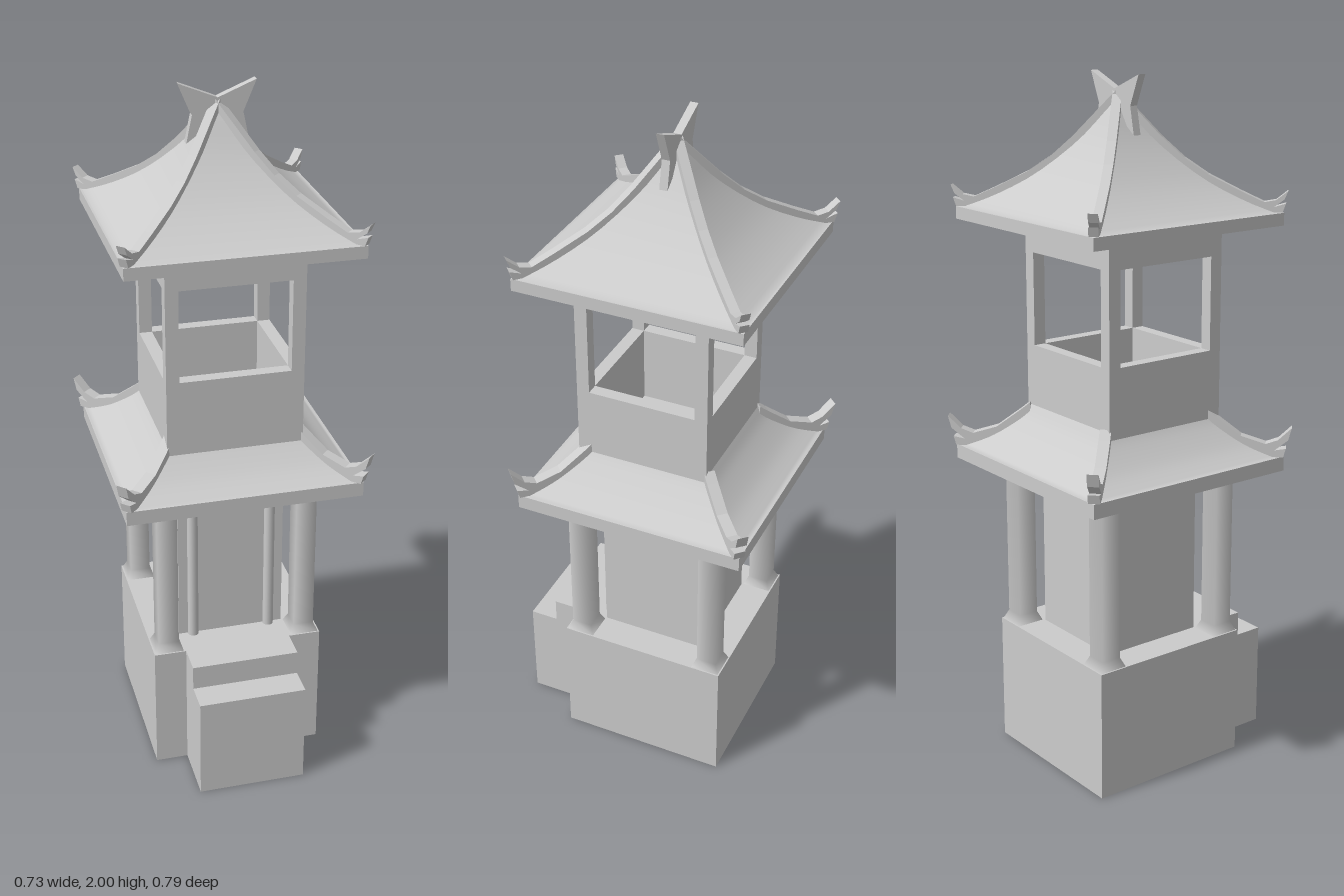
import * as THREE from 'three';
import { toCreasedNormals } from 'three/addons/utils/BufferGeometryUtils.js';

const grey = new THREE.MeshStandardMaterial({ color: 0xcccccc });
const thin = new THREE.MeshStandardMaterial({ color: 0xcccccc, side: THREE.DoubleSide });

function add(parent, name, geometry, material = grey) {
  const mesh = new THREE.Mesh(geometry, material);
  mesh.name = name;
  parent.add(mesh);
  return mesh;
}

// Box given by its extents on each axis
function block(parent, name, [x0, x1], [y0, y1], [z0, z1]) {
  const mesh = add(parent, name, new THREE.BoxGeometry(x1 - x0, y1 - y0, z1 - z0));
  mesh.position.set((x0 + x1) / 2, (y0 + y1) / 2, (z0 + z1) / 2);
  return mesh;
}

// Hollow box without its bottom face
function shell(parent, name, x, y, z) {
  const mesh = block(parent, name, x, y, z);
  const index = Array.from(mesh.geometry.index.array);
  index.splice(18, 6);
  mesh.geometry.clearGroups();
  mesh.geometry.setIndex(index);
  mesh.material = thin;
}

// Outline in x/y extruded to a plate centred on z = 0
function plate(points, thickness) {
  const shape = new THREE.Shape(points.map(([x, y]) => new THREE.Vector2(x, y)));
  const geometry = new THREE.ExtrudeGeometry(shape, { depth: thickness, bevelEnabled: false });
  return geometry.translate(0, 0, -thickness / 2);
}

// Square roof, open below: eave rim and curved slope in one skin, plus four hip ridges
function roof(name, half, y0, y1, profile, hip, hipWidth) {
  const group = new THREE.Group();
  group.name = name;
  const diagonal = ([d, y]) => new THREE.Vector2(d * Math.SQRT2, y);

  const curve = new THREE.SplineCurve(profile.map(diagonal));
  const outline = [[half, y0], [half, y1]].map(diagonal).concat(curve.getPoints(14));
  const skin = new THREE.LatheGeometry(outline, 4).rotateY(Math.PI / 4);
  add(group, 'roofSkin', toCreasedNormals(skin, 0.6), thin);

  const hipGeometry = plate(hip.map(([d, y]) => [d * Math.SQRT2, y]), hipWidth);
  for (let i = 0; i < 4; i++) {
    add(group, 'hipRidge', hipGeometry).rotation.y = Math.PI / 4 + i * Math.PI / 2;
  }
  return group;
}

export function createModel() {
  const model = new THREE.Group();
  model.name = 'pagodaTower';
  const tower = new THREE.Group();
  tower.name = 'tower';
  tower.position.z = -0.033;
  model.add(tower);

  // Hollow plinth and front steps
  shell(tower, 'plinth', [-0.251, 0.251], [0, 0.385], [-0.251, 0.251]);
  shell(tower, 'lowerStep', [-0.157, 0.157], [0, 0.312], [0.251, 0.423]);
  shell(tower, 'upperStep', [-0.157, 0.157], [0.312, 0.385], [0.251, 0.338]);

  // Lower room with rounded door frame
  block(tower, 'lowerRoom', [-0.157, 0.157], [0.385, 1], [-0.157, 0.16]);
  const lintel = add(tower, 'doorLintel', new THREE.CylinderGeometry(0.017, 0.017, 0.294, 12));
  lintel.rotation.z = Math.PI / 2;
  lintel.position.set(0, 0.831, 0.168);
  for (const x of [-0.115, 0.115]) {
    const post = add(tower, 'doorPost', new THREE.CylinderGeometry(0.016, 0.016, 0.43, 12));
    post.position.set(x, 0.6, 0.165);
  }

  // Square, softly shaded columns with flared feet
  const columnProfile = [[0.042, 0.385], [0.03, 0.412], [0.03, 0.93]]
    .map(([h, y]) => new THREE.Vector2(h * Math.SQRT2, y));
  const columnGeometry = new THREE.LatheGeometry(columnProfile, 4).rotateY(Math.PI / 4);
  for (const x of [-0.205, 0.205]) {
    for (const z of [-0.205, 0.205]) add(tower, 'column', columnGeometry).position.set(x, 0, z);
  }

  // Lower skirt roof
  tower.add(roof('lowerRoof', 0.337, 0.888, 0.93,
    [[0.33, 0.93], [0.27, 0.965], [0.21, 1.02], [0.18, 1.06]],
    [[0.18, 1.068], [0.2, 1.045], [0.25, 0.992], [0.3, 0.97], [0.325, 0.983], [0.352, 1.02],
      [0.345, 0.983], [0.318, 0.952], [0.341, 0.958], [0.336, 0.932], [0.3, 0.932], [0.25, 0.965], [0.18, 1.03]],
    0.032));

  // Open upper room: floor, parapets, headers and corner posts
  const room = new THREE.Group();
  room.name = 'upperRoom';
  room.position.z = 0.017;
  tower.add(room);
  const outer = 0.195, inner = 0.158;
  block(room, 'floor', [-inner, inner], [0.99, 1.01], [-inner, inner]);
  for (let i = 0; i < 4; i++) {
    const side = new THREE.Group();
    side.name = 'upperRoomSide';
    side.rotation.y = i * Math.PI / 2;
    room.add(side);
    block(side, 'parapet', [-inner, inner], [0.99, 1.238], [inner, outer]);
    block(side, 'windowHeader', [-inner, inner], [1.505, 1.6], [inner, outer]);
    block(side, 'cornerPost', [inner, outer], [0.99, 1.6], [inner, outer]);
  }

  // Upper roof
  tower.add(roof('upperRoof', 0.324, 1.593, 1.628,
    [[0.318, 1.628], [0.25, 1.665], [0.17, 1.725], [0.087, 1.815], [0.03, 1.9], [0, 1.945]],
    [[0, 1.956], [0.04, 1.898], [0.087, 1.829], [0.13, 1.775], [0.177, 1.731], [0.24, 1.687], [0.285, 1.658],
      [0.308, 1.664], [0.331, 1.69], [0.324, 1.666], [0.304, 1.645], [0.327, 1.655], [0.321, 1.63],
      [0.285, 1.632], [0.24, 1.66], [0.15, 1.725], [0.08, 1.8], [0, 1.915]],
    0.026));

  // Winged crest on the peak
  add(tower, 'roofCrest', plate([[-0.106, 2], [0, 1.957], [0.106, 2], [0.07, 1.915],
    [0.086, 1.838], [0, 1.9], [-0.086, 1.838], [-0.07, 1.915]], 0.023));

  return model;
}
